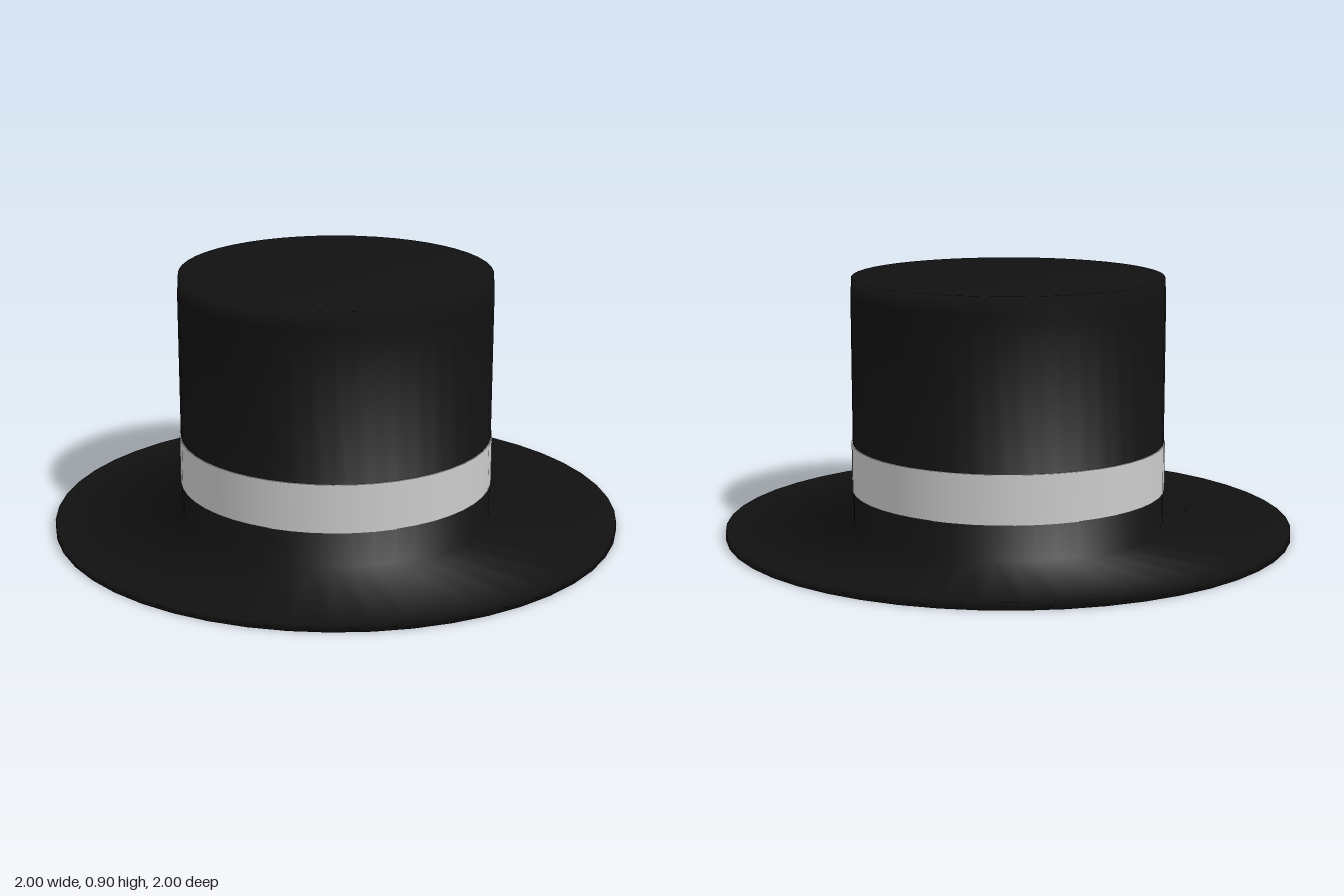
import * as THREE from 'three';

const SEGMENTS = 48;

// Revolves a list of [radius, height] points into a named mesh
function lathe(name, profile, color) {
  const points = profile.map(([r, y]) => new THREE.Vector2(r, y));
  const mesh = new THREE.Mesh(
    new THREE.LatheGeometry(points, SEGMENTS),
    new THREE.MeshStandardMaterial({ color })
  );
  mesh.name = name;
  return mesh;
}

export function createModel() {
  const hat = new THREE.Group();
  hat.name = 'hat';

  // Hollow felt body: inner lining, flat brim and tall crown in one smooth profile
  hat.add(lathe('crownAndBrim', [
    [0, 0.88], [0.53, 0.88], [0.53, 0],           // lining
    [1, 0], [1, 0.025], [0.55, 0.025],            // brim
    [0.55, 0.84], [0.546, 0.905], [0, 0.905],     // crown
  ], 0x111111));

  // Ribbon around the base of the crown
  hat.add(lathe('hatBand', [
    [0.548, 0.15], [0.554, 0.15], [0.554, 0.15],
    [0.554, 0.32], [0.554, 0.32], [0.548, 0.32],
  ], 0xcccccc));

  return hat;
}
